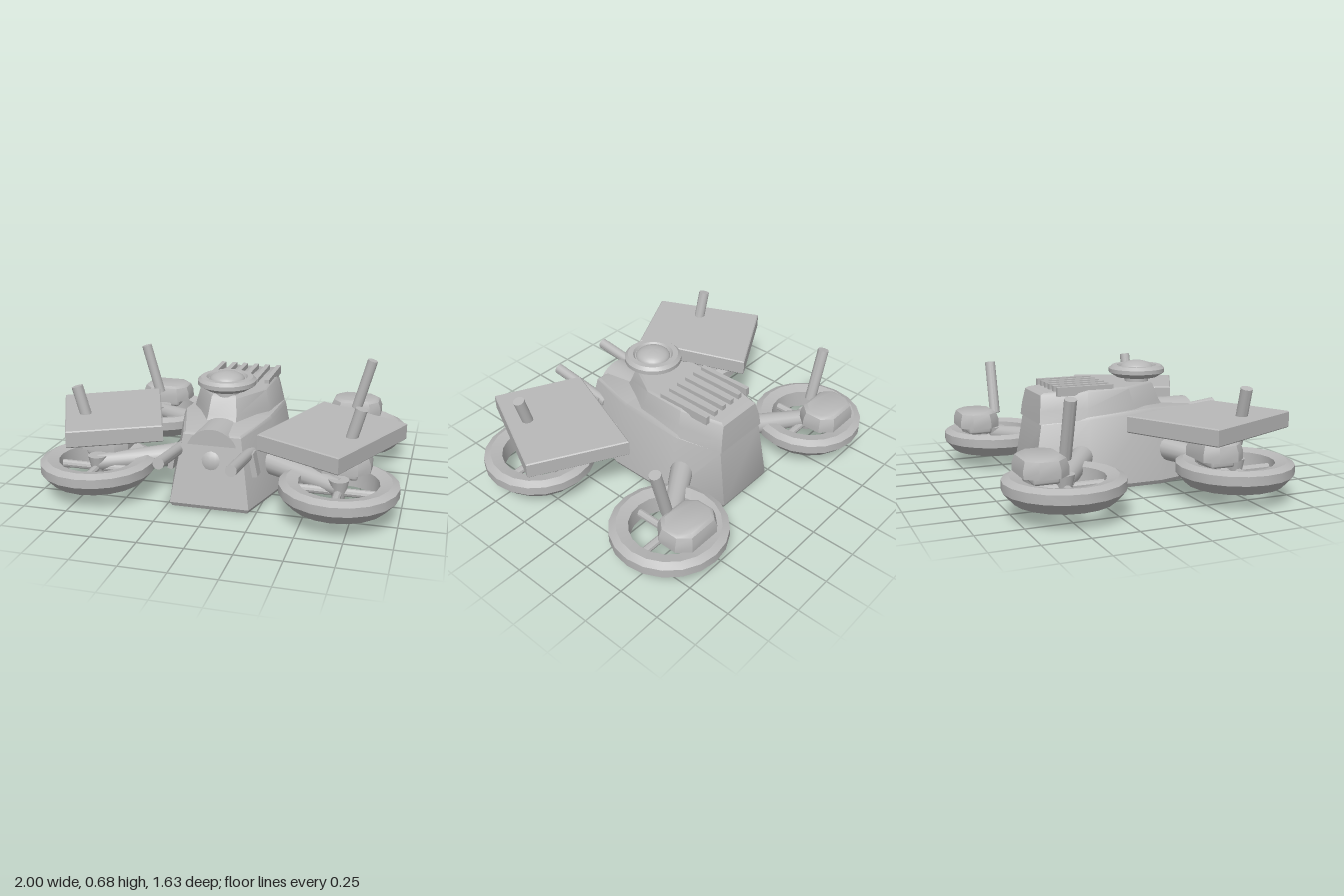
import * as THREE from 'three';
import { toCreasedNormals, mergeVertices } from 'three/addons/utils/BufferGeometryUtils.js';
import { RoundedBoxGeometry } from 'three/addons/geometries/RoundedBoxGeometry.js';

export function createModel() {
  const model = new THREE.Group();
  const grey = new THREE.MeshStandardMaterial({ color: 0xb8b8b8 });
  grey.name = 'plain grey';
  grey.side = THREE.DoubleSide;

  const add = (name, geometry, x = 0, y = 0, z = 0, parent = model) => {
    const mesh = new THREE.Mesh(toCreasedNormals(geometry, 0.6), grey);
    mesh.name = name;
    mesh.position.set(x, y, z);
    parent.add(mesh);
    return mesh;
  };

  // Tapered round bar between two points
  const bar = (name, a, b, r0, r1 = r0, sides = 14) => {
    const from = new THREE.Vector3(...a), to = new THREE.Vector3(...b);
    const dir = to.clone().sub(from);
    const g = new THREE.CylinderGeometry(r1, r0, dir.length(), sides);
    const mesh = add(name, g);
    mesh.position.copy(from).add(to).multiplyScalar(0.5);
    mesh.quaternion.setFromUnitVectors(new THREE.Vector3(0, 1, 0), dir.normalize());
    return mesh;
  };

  // Loft of mirrored octagonal sections; each level lists right-hand corners [x, y, z], front to back
  const loft = (levels) => {
    const rings = levels.map((half) => [
      ...half, ...half.slice().reverse().map(([x, y, z]) => [-x, y, z]),
    ]);
    const pos = [];
    const n = rings[0].length;
    const tri = (...pts) => pts.forEach((p) => pos.push(...p));
    for (let l = 0; l < rings.length - 1; l++) {
      for (let i = 0; i < n; i++) {
        const j = (i + 1) % n;
        const a = rings[l][i], b = rings[l][j], c = rings[l + 1][j], d = rings[l + 1][i];
        tri(a, b, c);
        tri(a, c, d);
      }
    }
    const low = rings[0], top = rings[rings.length - 1];
    const half = n / 2;
    for (let i = 0; i < half - 1; i++) {
      const m = n - 1 - i;
      tri(low[i], low[m], low[m - 1]);
      tri(low[i], low[m - 1], low[i + 1]);
      tri(top[i], top[i + 1], top[m - 1]);
      tri(top[i], top[m - 1], top[m]);
    }
    const g = new THREE.BufferGeometry();
    g.setAttribute('position', new THREE.Float32BufferAttribute(pos, 3));
    return mergeVertices(g);
  };

  const lathe = (profile, sides) =>
    new THREE.LatheGeometry(profile.map(([r, y]) => new THREE.Vector2(r, y)), sides);

  // Hull and raised upper casing
  add('hull', loft([
    [[0.21, 0.012, 0.555], [0.31, 0.012, 0.2], [0.31, 0.012, -0.23], [0.18, 0.012, -0.51]],
    [[0.22, 0.035, 0.567], [0.322, 0.035, 0.2], [0.322, 0.035, -0.23], [0.19, 0.035, -0.52]],
    [[0.16, 0.41, 0.495], [0.255, 0.42, 0.17], [0.255, 0.40, -0.21], [0.17, 0.375, -0.465]],
    [[0.15, 0.42, 0.48], [0.245, 0.44, 0.165], [0.245, 0.415, -0.21], [0.16, 0.385, -0.455]],
  ]));
  add('upperCasing', loft([
    [[0.085, 0.41, 0.32], [0.225, 0.41, 0.08], [0.248, 0.40, -0.22], [0.175, 0.38, -0.475]],
    [[0.08, 0.46, 0.29], [0.215, 0.46, 0.07], [0.225, 0.46, -0.21], [0.165, 0.45, -0.468]],
    [[0.07, 0.55, 0.255], [0.192, 0.55, 0.05], [0.198, 0.545, -0.2], [0.14, 0.535, -0.455]],
    [[0.065, 0.562, 0.24], [0.18, 0.56, 0.045], [0.186, 0.556, -0.195], [0.13, 0.547, -0.435]],
  ]));

  // Cooling ribs on the roof
  for (let i = 0; i < 6; i++) {
    add('roofRib', new THREE.BoxGeometry(0.028, 0.05, 0.33), (i - 2.5) * 0.069, 0.555, -0.208);
  }

  // Round sensor dish with its dome
  add('sensorPost', new THREE.CylinderGeometry(0.07, 0.07, 0.06, 20), 0, 0.575, 0.185);
  add('sensorDish', lathe([
    [0, 0.588], [0.12, 0.588], [0.163, 0.615], [0.163, 0.638], [0.145, 0.655],
    [0.115, 0.655], [0.105, 0.64], [0, 0.64],
  ], 28), 0, 0, 0.185);
  const dome = add('sensorDome', new THREE.SphereGeometry(0.1, 24, 8, 0, Math.PI * 2, 0, Math.PI / 2), 0, 0.635, 0.185);
  dome.scale.y = 0.48;

  // Arched nose hood, ball and keel point
  const hood = add('noseHood', new THREE.CylinderGeometry(0.145, 0.145, 0.2, 28), 0, 0.305, 0.405);
  hood.rotation.x = Math.PI / 2;
  add('noseBall', new THREE.SphereGeometry(0.11, 24, 14), 0, 0.26, 0.425);
  add('keelPoint', new THREE.ConeGeometry(0.025, 0.03, 12), 0, 0.015, 0.475).rotation.x = Math.PI;

  for (const s of [1, -1]) {
    // Forward barrels and their brackets
    bar('barrel', [s * 0.19, 0.305, 0.4], [s * 0.19, 0.357, 0.81], 0.031);
    const bracket = add('barrelBracket', new THREE.BoxGeometry(0.03, 0.13, 0.07), s * 0.225, 0.265, 0.465);
    bracket.rotation.z = s * 0.2;

    // Flat top panels
    const corners = [[0.5, -0.1], [0.995, 0.17], [0.715, 0.768], [0.257, 0.54]];
    const shape = new THREE.Shape(corners.map(([x, z]) => new THREE.Vector2(s * x, z)));
    const panel = new THREE.ExtrudeGeometry(shape, {
      depth: 0.08, bevelThickness: 0.006, bevelSize: 0.006, bevelOffset: -0.006, bevelSegments: 1,
    });
    panel.rotateX(Math.PI / 2);
    add('topPanel', panel, 0, 0.456, 0);

    // Four ducted rotors with arms, pods and masts
    for (const [name, x, z, rootZ] of [['front', 0.68, 0.455, 0.24], ['rear', 0.63, -0.5, -0.24]]) {
      add(name + 'Duct', lathe([
        [0.21, 0.1], [0.265, 0.09], [0.319, 0.15], [0.319, 0.2], [0.28, 0.22], [0.215, 0.205], [0.21, 0.1],
      ], 20), s * x, 0, z);
      bar(name + 'Arm', [s * 0.22, 0.2, rootZ], [s * x, 0.175, z], 0.066, 0.048);
      bar(name + 'CrossStrut', [s * x - 0.22, 0.15, z], [s * x + 0.22, 0.15, z], 0.022, 0.022, 10);
      bar(name + 'LongStrut', [s * x, 0.15, z - 0.22], [s * x, 0.15, z + 0.22], 0.022, 0.022, 10);
      bar(name + 'Hub', [s * x, 0.1, z], [s * x, 0.22, z], 0.03, 0.055);

      // Octagonal engine pod with a softened top
      const pod = loft([[0.155, 0.24, 0.1], [0.155, 0.285, 0.1], [0.14, 0.325, 0.09], [0.12, 0.338, 0.075]]
        .map(([w, y, d]) => [
          [w * 0.62, y, d * 1.18], [w, y, d * 0.55], [w, y, -d * 0.55], [w * 0.62, y, -d * 1.18],
        ]));
      add(name + 'Pod', pod, s * x, 0, z - 0.126);
      add(name + 'PodFoot', new RoundedBoxGeometry(0.18, 0.06, 0.14, 2, 0.015), s * x, 0.225, z - 0.12);
      bar(name + 'Mast', [s * (x + 0.015), 0.305, z], [s * (x + 0.1), 0.615, z], 0.032);
    }
  }
  return model;
}
